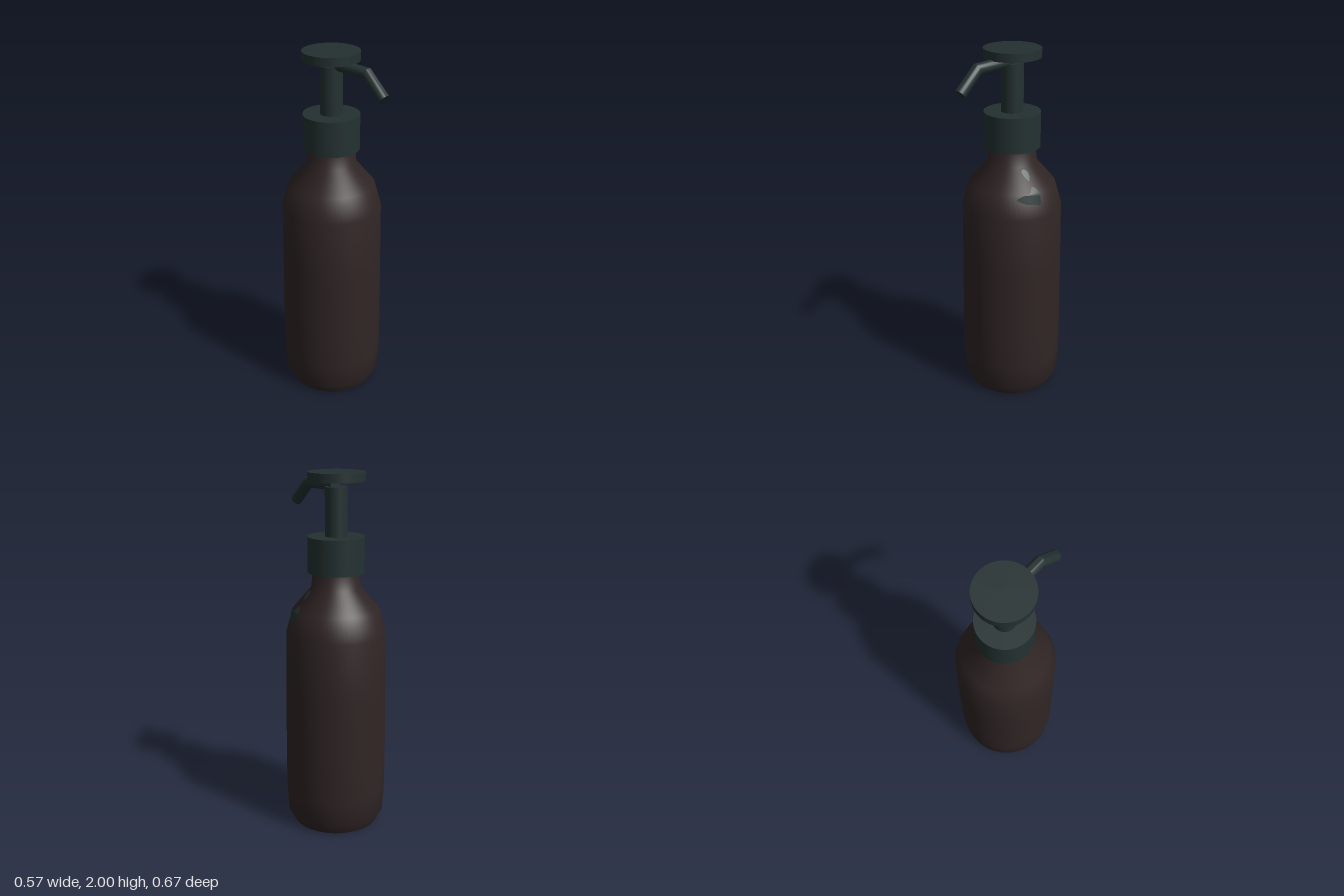
import * as THREE from 'three';
import { toCreasedNormals } from 'three/addons/utils/BufferGeometryUtils.js';

const AXIS_Z = -0.053; // the bottle stands behind centre, the spout reaches forward

// Bottle outline as [radius, height]
const PROFILE = [
  [0, 0], [0.243, 0], [0.275, 0.06], [0.284, 0.2], [0.284, 0.45], [0.28, 0.8],
  [0.276, 1.13], [0.239, 1.26], [0.137, 1.38], [0.126, 1.48],
];

function bottleRadius(y) {
  for (let i = 2; i < PROFILE.length; i++) {
    const [r0, y0] = PROFILE[i - 1], [r1, y1] = PROFILE[i];
    if (y <= y1) return r0 + (r1 - r0) * (y - y0) / (y1 - y0);
  }
  return PROFILE[PROFILE.length - 1][0];
}

// Tube with a mitred bend: each cylinder ring is moved to its station on the path
function spoutGeometry(radius) {
  const path = [[-0.045, 1.933], [0.195, 1.925], [0.312, 1.817]]; // [z, y]
  const dirs = [0, 1].map((i) => new THREE.Vector2(
    path[i + 1][0] - path[i][0], path[i + 1][1] - path[i][1]).normalize());
  const miter = dirs[0].clone().add(dirs[1]).normalize();
  const tangents = [dirs[0], miter, dirs[1]];
  const stretch = [1, 1 / miter.dot(dirs[0]), 1];
  const geo = new THREE.CylinderGeometry(radius, radius, 2, 24, 2);
  const pos = geo.attributes.position;
  for (let i = 0; i < pos.count; i++) {
    const k = Math.round(pos.getY(i)) + 1;
    const side = pos.getZ(i) * stretch[k], t = tangents[k];
    pos.setXYZ(i, pos.getX(i), path[k][1] - side * t.x, path[k][0] + side * t.y);
  }
  return toCreasedNormals(geo, 0.6);
}

// Thin painted patch laid over the +x side of the bottle, outline as [z, y]
function patchGeometry(outline) {
  const curve = new THREE.CatmullRomCurve3(
    outline.map(([z, y]) => new THREE.Vector3(0, y, z)), true);
  const centre = new THREE.Vector3();
  outline.forEach(([z, y]) => centre.add(new THREE.Vector3(0, y, z)));
  centre.divideScalar(outline.length);
  const geo = new THREE.RingGeometry(0, 1, 36, 8);
  const pos = geo.attributes.position;
  for (let i = 0; i < pos.count; i++) {
    const x = pos.getX(i), y = pos.getY(i);
    const turn = (Math.atan2(y, x) / (2 * Math.PI) + 1) % 1;
    const p = curve.getPoint(turn).lerp(centre, 1 - Math.hypot(x, y));
    const r = bottleRadius(p.y) + 0.003, dz = p.z - AXIS_Z;
    pos.setXYZ(i, Math.sqrt(r * r - dz * dz), p.y, p.z);
  }
  geo.computeVertexNormals();
  return geo;
}

export function createModel() {
  const group = new THREE.Group();
  const bottleMat = new THREE.MeshStandardMaterial({ color: 0x302525 });
  bottleMat.name = 'dark brown bottle';
  const pumpMat = new THREE.MeshStandardMaterial({ color: 0x243131, side: THREE.DoubleSide });
  pumpMat.name = 'dark green pump';

  const add = (name, geo, mat, y = 0, z = 0) => {
    const mesh = new THREE.Mesh(geo, mat);
    mesh.name = name;
    mesh.position.set(0, y, z);
    group.add(mesh);
  };

  // Bottle with a sharp base edge and smooth shoulders
  const lathe = new THREE.LatheGeometry(PROFILE.map(([r, y]) => new THREE.Vector2(r, y)), 64);
  add('bottle', toCreasedNormals(lathe, 0.9), bottleMat, 0, AXIS_Z);

  // Pump: collar, stem and press disc
  const parts = [
    ['collar', 0.155, 1.465, 1.66],
    ['stem', 0.061, 1.64, 1.922],
    ['pressDisc', 0.155, 1.953, 2],
  ];
  for (const [name, r, y0, y1] of parts) {
    add(name, new THREE.CylinderGeometry(r, r, y1 - y0, 48), pumpMat, (y0 + y1) / 2, AXIS_Z);
  }
  add('spout', spoutGeometry(0.031), pumpMat);

  // Small painted marks on the shoulder
  add('shoulderMark', patchGeometry([
    [0.1, 1.24], [0.06, 1.26], [0.03, 1.265], [0, 1.292], [-0.02, 1.28],
    [-0.025, 1.235], [-0.015, 1.2], [0.02, 1.207], [0.065, 1.215],
  ]), pumpMat);
  add('shoulderSpeck', patchGeometry([
    [0.013, 1.36], [0, 1.373], [-0.02, 1.36], [-0.014, 1.335], [0.002, 1.32],
  ]), pumpMat);

  return group;
}
